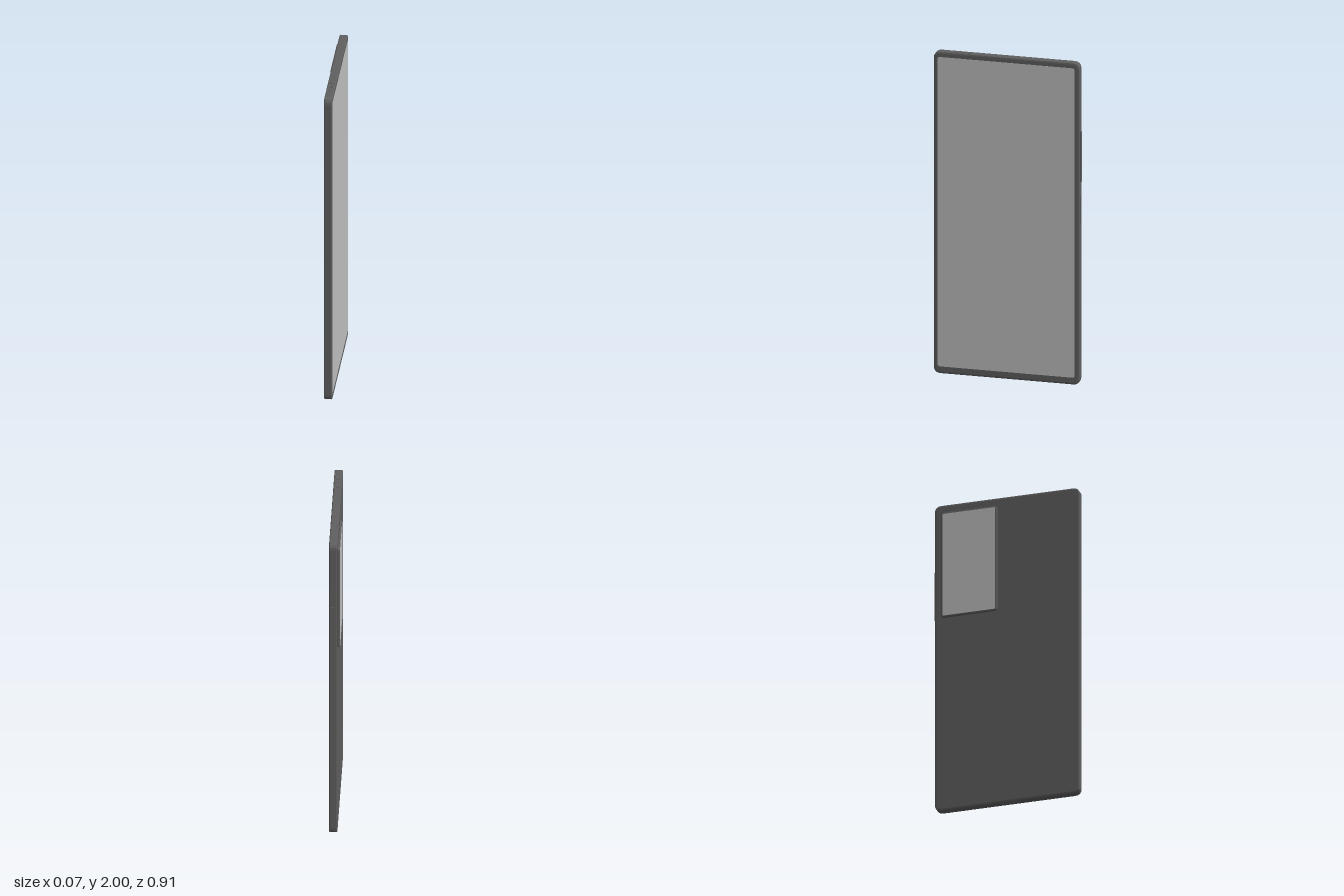
import * as THREE from 'three';

const dark = new THREE.MeshStandardMaterial({ color: 0x606060 });
dark.name = 'darkGrey';
const light = new THREE.MeshStandardMaterial({ color: 0xc0c0c0 });
light.name = 'lightGrey';

// Rounded rectangle outline; u runs along -z, v along y
function outline(u0, u1, v0, v1, r) {
  const s = new THREE.Shape();
  s.moveTo(u0 + r, v0);
  s.lineTo(u1 - r, v0);
  s.quadraticCurveTo(u1, v0, u1, v0 + r);
  s.lineTo(u1, v1 - r);
  s.quadraticCurveTo(u1, v1, u1 - r, v1);
  s.lineTo(u0 + r, v1);
  s.quadraticCurveTo(u0, v1, u0, v1 - r);
  s.lineTo(u0, v0 + r);
  s.quadraticCurveTo(u0, v0, u0 + r, v0);
  return s;
}

// Upright slab between x0 and x1 with bevelled rims of width b and depth t
function slab(name, material, [u0, u1, v0, v1], r, x0, x1, b = 0, t = 0) {
  const geo = new THREE.ExtrudeGeometry(outline(u0 + b, u1 - b, v0 + b, v1 - b, r), {
    depth: x1 - x0 - 2 * t,
    bevelEnabled: b > 0,
    bevelSize: b,
    bevelThickness: t,
    bevelSegments: 2,
    curveSegments: 4,
  });
  geo.translate(0, 0, x0 + t);
  geo.rotateY(Math.PI / 2);
  const mesh = new THREE.Mesh(geo, material);
  mesh.name = name;
  return mesh;
}

function box(name, w, h, d, x, y, z) {
  const mesh = new THREE.Mesh(new THREE.BoxGeometry(w, h, d), dark);
  mesh.name = name;
  mesh.position.set(x, y, z);
  return mesh;
}

export function createModel() {
  const phone = new THREE.Group();
  phone.name = 'phone';

  // Body and screen
  phone.add(slab('body', dark, [-0.452, 0.448, 0.002, 1.998], 0.028, -0.02, 0.03, 0.012, 0.005));
  phone.add(slab('screen', light, [-0.428, 0.419, 0.045, 1.965], 0.015, 0.029, 0.031));

  // Camera bump on the back with its light cover
  phone.add(slab('cameraBump', dark, [0.057, 0.406, 1.26, 1.945], 0.012, -0.034, -0.018, 0.008, 0.004));
  phone.add(slab('cameraCover', light, [0.067, 0.396, 1.27, 1.935], 0.008, -0.035, -0.033));

  // Side buttons
  phone.add(box('volumeButton', 0.018, 0.31, 0.012, 0.005, 1.415, -0.449));
  phone.add(box('powerButton', 0.018, 0.17, 0.008, 0.005, 1.085, -0.446));

  // Small openings on the top edge
  for (const z of [0.233, 0.277, 0.321]) {
    phone.add(box('topOpening', 0.02, 0.004, 0.022, 0.005, 1.998, z));
  }

  // Charging port on the bottom edge
  phone.add(box('chargingPort', 0.018, 0.004, 0.09, 0.005, 0.002, 0));

  return phone;
}
